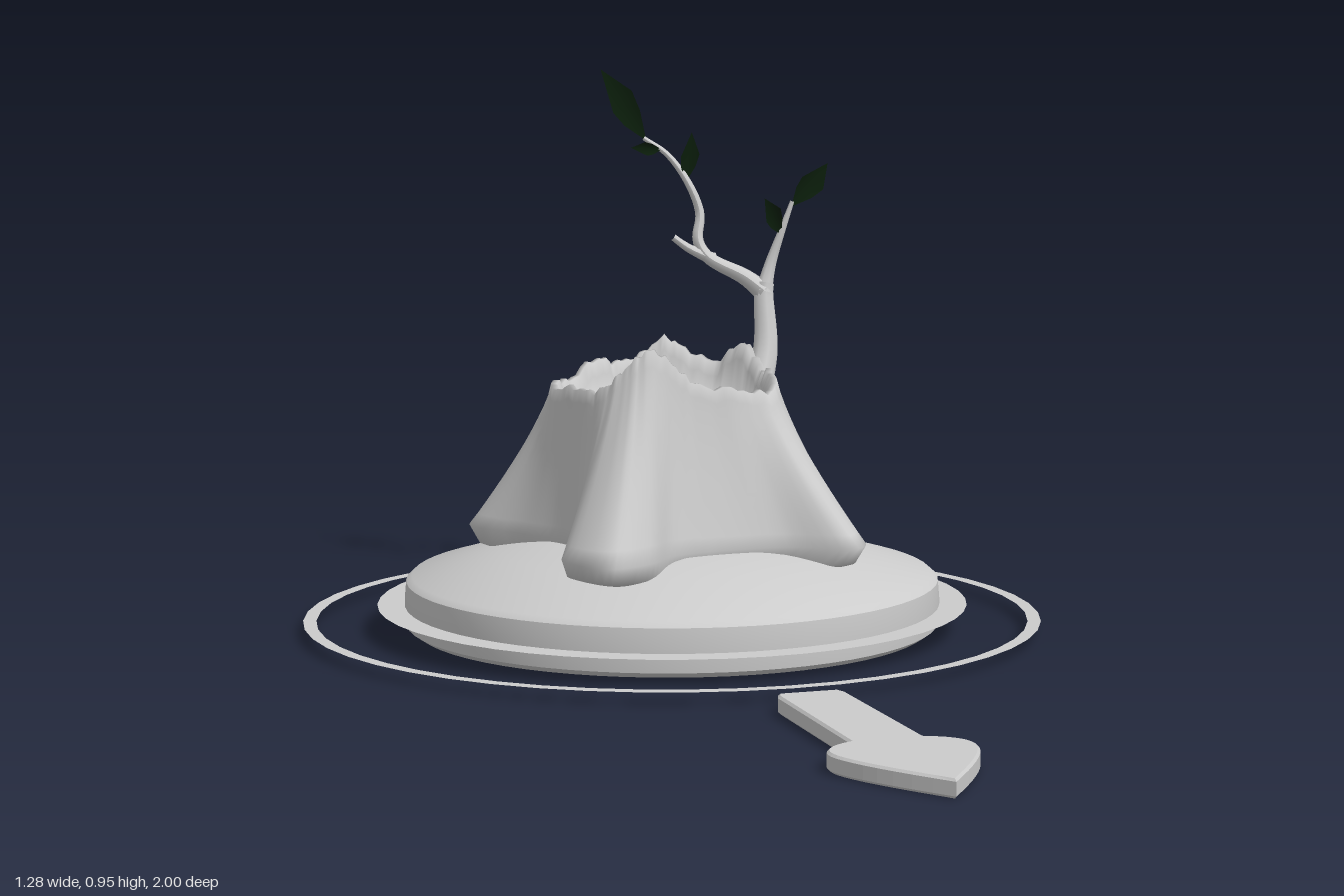
import * as THREE from 'three';
import { toCreasedNormals } from 'three/addons/utils/BufferGeometryUtils.js';

const CZ = -0.36; // z of the base and stump centre
const V = (x, y, z) => new THREE.Vector3(x, y, z);
const grey = new THREE.MeshStandardMaterial({ color: 0xcccccc });
const greyThin = new THREE.MeshStandardMaterial({ color: 0xcccccc, side: THREE.DoubleSide });
const leafGreen = new THREE.MeshStandardMaterial({ color: 0x0a1c0a, side: THREE.DoubleSide });

function add(parent, name, geometry, material = grey) {
  const mesh = new THREE.Mesh(geometry, material);
  mesh.name = name;
  parent.add(mesh);
  return mesh;
}

// Tube along points, narrowing from radius r0 to r1
function taperedTube(points, r0, r1, segments = 24, sides = 8) {
  const curve = new THREE.CatmullRomCurve3(points.map((p) => V(...p)));
  const g = new THREE.TubeGeometry(curve, segments, 1, sides);
  const pos = g.attributes.position, p = V(0, 0, 0);
  for (let i = 0; i < pos.count; i++) {
    const t = Math.floor(i / (sides + 1)) / segments;
    const c = curve.getPointAt(t);
    p.fromBufferAttribute(pos, i).sub(c).multiplyScalar(r0 + (r1 - r0) * Math.sqrt(t)).add(c);
    pos.setXYZ(i, p.x, p.y, p.z);
  }
  g.computeVertexNormals();
  return g;
}

// Root outline and rim, paired: base x, base z, rim x, rim z, rim height
const outline = [
  [0.0, -0.15, -0.01, -0.205, 0.455], [0.14, -0.15, 0.07, -0.21, 0.44],
  [0.25, -0.1, 0.13, -0.225, 0.43], [0.285, -0.19, 0.16, -0.27, 0.44],
  [0.245, -0.31, 0.175, -0.34, 0.45], [0.27, -0.39, 0.18, -0.38, 0.44],
  [0.325, -0.43, 0.18, -0.42, 0.46], [0.315, -0.53, 0.165, -0.46, 0.485],
  [0.24, -0.6, 0.13, -0.5, 0.45], [0.13, -0.59, 0.08, -0.53, 0.47],
  [0.09, -0.68, 0.045, -0.545, 0.49], [0.0, -0.77, 0.0, -0.55, 0.46],
  [-0.075, -0.72, -0.05, -0.545, 0.45], [-0.12, -0.59, -0.09, -0.525, 0.46],
  [-0.27, -0.6, -0.15, -0.49, 0.43], [-0.315, -0.53, -0.19, -0.44, 0.435],
  [-0.25, -0.42, -0.205, -0.39, 0.43], [-0.2, -0.32, -0.19, -0.32, 0.44],
  [-0.215, -0.22, -0.17, -0.26, 0.44], [-0.26, -0.15, -0.15, -0.225, 0.46],
  [-0.21, -0.045, -0.12, -0.205, 0.495], [-0.13, -0.07, -0.09, -0.195, 0.515],
  [-0.07, -0.13, -0.05, -0.2, 0.49],
];

// Hollow stump: loops rise from the roots to the rim, then drop into the bowl
function stumpGeometry() {
  const N = 138;
  const base = new THREE.CatmullRomCurve3(outline.map((o) => V(o[0], 0.175, o[1])), true);
  const rim = new THREE.CatmullRomCurve3(outline.map((o) => V(o[2], o[4], o[3])), true);
  const centre = V(-0.01, 0, CZ);
  // Point of a loop pulled towards the centre line and set at height y
  const pull = (p, k, y) => V(centre.x + (p.x - centre.x) * k, y, centre.z + (p.z - centre.z) * k);
  const loops = [];
  const loop = (fn) => loops.push(Array.from({ length: N }, (_, i) => {
    const t = i / N;
    const top = rim.getPoint(t);
    top.y += 0.006 * Math.sin(i * 1.7) * Math.sin(i * 0.45);
    return fn(base.getPoint(t), top);
  }));
  loop((b) => pull(b, 0, 0.13));
  loop((b) => pull(b, 0.85, 0.135));
  loop((b) => pull(b, 0.95, 0.145));
  const steps = 12;
  for (let j = 0; j <= steps; j++) {
    const s = j / steps, w = 1 - (1 - s) ** 1.25;
    loop((b, r) => V(b.x + (r.x - b.x) * w, b.y + (r.y - b.y) * s, b.z + (r.z - b.z) * w));
  }
  loop((b, r) => pull(r, 0.95, r.y));
  loop((b, r) => pull(r, 0.9, r.y - 0.025));
  loop((b, r) => pull(r, 0.86, 0.39));
  loop(() => V(0, 0, 0));
  const last = loops.length - 1;
  loops[last] = loops[last - 1].map((p) => pull(p, 0.65, 0.36));
  loops.push(loops[last].map((p) => pull(p, 0, 0.355)));

  const index = [];
  for (let j = 0; j < loops.length - 1; j++) {
    for (let i = 0; i < N; i++) {
      const k = (i + 1) % N;
      const a = j * N + i, b = j * N + k, c = a + N, d = b + N;
      index.push(a, b, d, a, d, c);
    }
  }
  const g = new THREE.BufferGeometry().setFromPoints(loops.flat());
  g.setIndex(index);
  g.computeVertexNormals();
  return g;
}

// Thin pointed leaf from stem to tip, facing the front
function leafGeometry(from, to, width) {
  const a = V(...from), d = V(...to).sub(a);
  const side = V(d.y, -d.x, 0).normalize().multiplyScalar(width / 2);
  const at = (t, s, lift) => a.clone().addScaledVector(d, t).addScaledVector(side, s).add(V(0, 0, lift));
  const points = [at(0, 0, 0), at(0.35, 0.75, 0.006), at(0.6, 1, 0.008), at(1, 0, 0),
    at(0.5, -1, 0.008), at(0.3, -0.8, 0.006), at(0.5, 0, -0.004)];
  const g = new THREE.BufferGeometry().setFromPoints(points);
  g.setIndex([0, 1, 6, 1, 2, 6, 2, 3, 6, 3, 4, 6, 4, 5, 6, 5, 0, 6]);
  g.computeVertexNormals();
  return g;
}

export function createModel() {
  const model = new THREE.Group();
  model.name = 'treeStumpOnBase';

  // Round base with a low conical top
  const profile = [[0, 0.01], [0.445, 0.01], [0.46, 0.02], [0.463, 0.06], [0.46, 0.095],
    [0.45, 0.104], [0.3, 0.148], [0.22, 0.168], [0, 0.175]];
  const disc = new THREE.LatheGeometry(profile.map((p) => new THREE.Vector2(...p)), 64);
  add(model, 'base', toCreasedNormals(disc, 0.6)).position.z = CZ;

  // Flat rings around the base
  for (const [name, r0, r1, y] of [['innerRing', 0.455, 0.51, 0.053], ['outerRing', 0.615, 0.638, 0.026]]) {
    const ring = add(model, name, new THREE.RingGeometry(r0, r1, 48), greyThin);
    ring.rotation.x = -Math.PI / 2;
    ring.position.set(0, y, CZ);
  }

  // Arrow pointing to the front
  const s = new THREE.Shape();
  s.moveTo(-0.05, 0.35);
  s.lineTo(0.05, 0.35);
  s.lineTo(0.057, 0.37);
  s.lineTo(0.06, 0.71);
  s.quadraticCurveTo(0.13, 0.74, 0.115, 0.8);
  s.quadraticCurveTo(0.1, 0.86, 0, 1);
  s.quadraticCurveTo(-0.1, 0.86, -0.115, 0.8);
  s.quadraticCurveTo(-0.13, 0.74, -0.06, 0.71);
  s.lineTo(-0.057, 0.37);
  const arrow = new THREE.ExtrudeGeometry(s, {
    depth: 0.022, curveSegments: 8, bevelSize: 0.004, bevelThickness: 0.004, bevelOffset: -0.004, bevelSegments: 1,
  });
  arrow.rotateX(Math.PI / 2);
  add(model, 'arrow', arrow).position.y = 0.032;

  add(model, 'stump', stumpGeometry());

  // Young tree growing from the back left of the stump
  const sapling = new THREE.Group();
  sapling.name = 'sapling';
  model.add(sapling);
  const fork = [0.24, 0.56, -0.575];
  add(sapling, 'trunk', taperedTube([[0.17, 0.3, -0.48], [0.205, 0.38, -0.52], [0.235, 0.46, -0.55], fork, [0.243, 0.575, -0.577]], 0.042, 0.017));
  add(sapling, 'leftBranch', taperedTube([fork, [0.21, 0.585, -0.59], [0.15, 0.62, -0.62], [0.135, 0.65, -0.63],
    [0.142, 0.695, -0.64], [0.125, 0.745, -0.645], [0.09, 0.8, -0.665], [0.05, 0.83, -0.68]], 0.02, 0.004, 40));
  add(sapling, 'rightBranch', taperedTube([fork, [0.255, 0.61, -0.58], [0.275, 0.67, -0.575], [0.292, 0.72, -0.57]], 0.019, 0.004));
  add(sapling, 'brokenTwig', taperedTube([[0.16, 0.615, -0.62], [0.115, 0.637, -0.625], [0.087, 0.657, -0.625]], 0.013, 0.006, 8));
  add(sapling, 'twig', taperedTube([[0.13, 0.735, -0.645], [0.12, 0.76, -0.65]], 0.006, 0.003, 4));

  const leaves = [
    [[0.055, 0.825, -0.68], [-0.022, 0.952, -0.705], 0.05],
    [[0.08, 0.81, -0.668], [0.02, 0.815, -0.66], 0.024],
    [[0.118, 0.75, -0.65], [0.132, 0.84, -0.655], 0.034],
    [[0.29, 0.71, -0.57], [0.362, 0.785, -0.58], 0.045],
    [[0.273, 0.66, -0.575], [0.235, 0.728, -0.555], 0.034],
  ];
  for (const leaf of leaves) add(sapling, 'leaf', leafGeometry(...leaf), leafGreen);

  return model;
}
